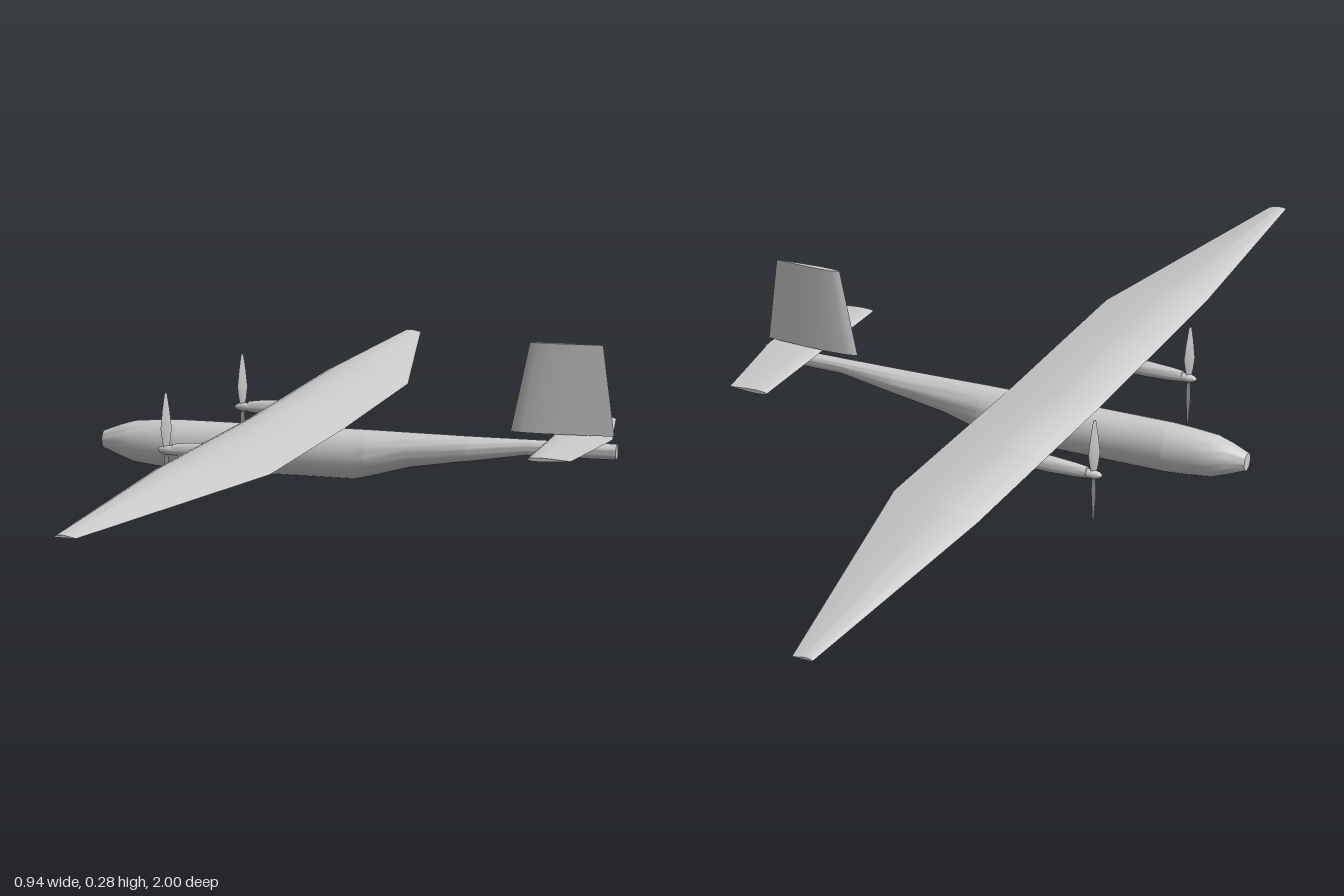
import * as THREE from 'three';
import { toCreasedNormals } from 'three/addons/utils/BufferGeometryUtils.js';

const grey = new THREE.MeshStandardMaterial({ color: 0xcccccc });
grey.name = 'light grey';

// Skin a list of closed rings (equal point counts) and cap both ends
function loft(rings, crease = 0.6) {
  const pos = [];
  let volume = 0;
  const tris = [];
  const tri = (a, b, c) => {
    tris.push([a, b, c]);
    volume += a.clone().sub(rings[0][0]).dot(
      b.clone().sub(rings[0][0]).cross(c.clone().sub(rings[0][0])));
  };
  const n = rings[0].length;
  for (let i = 0; i < rings.length - 1; i++) {
    for (let j = 0; j < n; j++) {
      const k = (j + 1) % n;
      tri(rings[i][j], rings[i][k], rings[i + 1][k]);
      tri(rings[i][j], rings[i + 1][k], rings[i + 1][j]);
    }
  }
  const cap = (ring, flip) => {
    const c = new THREE.Vector3();
    ring.forEach((p) => c.addScaledVector(p, 1 / n));
    ring.forEach((p, j) => {
      const q = ring[(j + 1) % n];
      if (flip) tri(c, q, p); else tri(c, p, q);
    });
  };
  cap(rings[0], true);
  cap(rings[rings.length - 1], false);
  // Keep every face pointing outward, mirrored parts included
  tris.forEach(([a, b, c]) => {
    (volume > 0 ? [a, b, c] : [a, c, b]).forEach((p) => pos.push(p.x, p.y, p.z));
  });
  const g = new THREE.BufferGeometry();
  g.setAttribute('position', new THREE.Float32BufferAttribute(pos, 3));
  return toCreasedNormals(g, crease);
}

function add(parent, name, geometry) {
  const mesh = new THREE.Mesh(geometry, grey);
  mesh.name = name;
  parent.add(mesh);
  return mesh;
}

// Oval tube along x from [x, bottom, top, halfWidth] stations
function body(stations, z = 0, sides = 28) {
  return loft(stations.map(([x, lo, hi, w]) => Array.from({ length: sides }, (_, i) => {
    const a = (i / sides) * Math.PI * 2;
    return new THREE.Vector3(x, (lo + hi) / 2 + Math.sin(a) * (hi - lo) / 2, z + Math.cos(a) * w);
  })));
}

// Profiles as [chord fraction, thickness fraction]
const cambered = [[0, 0.3], [0.03, 0.53], [0.1, 0.78], [0.22, 0.96], [0.35, 1], [0.5, 0.88],
  [0.7, 0.58], [0.85, 0.3], [1, 0.02], [0.75, 0], [0.4, 0], [0.1, 0.03], [0.03, 0.12]];
const half = [[0.03, 0.2], [0.12, 0.4], [0.3, 0.5], [0.55, 0.38], [0.8, 0.18]];
const symmetric = [[0, 0], ...half, [1, 0], ...half.map(([u, v]) => [u, -v]).reverse()];

// Lifting surface from [span, lead, trail, base, thickness] sections
function foil(profile, sections, upright = false) {
  return loft(sections.map(([s, x0, x1, base, t]) => profile.map(([u, v]) => {
    const x = x0 + u * (x1 - x0), h = base + v * t;
    return upright ? new THREE.Vector3(x, s, h) : new THREE.Vector3(x, h, s);
  })));
}

export function createModel() {
  const model = new THREE.Group();
  model.name = 'twinPropAircraft';

  // Fuselage in panels, nose at -x
  const fuselage = {
    nose: [[-0.475, 0.053, 0.085, 0.015], [-0.445, 0.041, 0.097, 0.026],
      [-0.415, 0.03, 0.106, 0.034], [-0.37, 0.025, 0.11, 0.038], [-0.33, 0.022, 0.112, 0.04]],
    forwardFuselage: [[-0.33, 0.022, 0.112, 0.04], [-0.15, 0.022, 0.112, 0.04]],
    midFuselage: [[-0.15, 0.022, 0.112, 0.04], [0, 0.022, 0.112, 0.04], [0.025, 0.028, 0.112, 0.038]],
    rearFuselage: [[0.025, 0.028, 0.112, 0.038], [0.1, 0.049, 0.111, 0.031], [0.205, 0.065, 0.11, 0.023]],
    tailBoom: [[0.205, 0.065, 0.11, 0.023], [0.31, 0.082, 0.11, 0.014], [0.47, 0.082, 0.11, 0.012]],
  };
  for (const [name, stations] of Object.entries(fuselage)) add(model, name, body(stations));

  // Wing panels from root to tip
  const stations = [
    [0, -0.2, -0.02, 0.112, 0.022],
    [0.25, -0.2, -0.02, 0.115, 0.022],
    [0.44, -0.2, -0.02, 0.117, 0.022],
    [0.5, -0.2, -0.033, 0.118, 0.021],
    [1, -0.175, -0.14, 0.128, 0.004],
  ];
  const panels = { innerWing: [0, 2], middleWing: [1, 4], outerWing: [3, 5] };

  for (const side of [1, -1]) {
    const label = side < 0 ? 'Right' : 'Left';
    const mirror = ([s, ...rest]) => [s * side, ...rest];
    for (const [name, [a, b]] of Object.entries(panels)) {
      add(model, name + label, foil(cambered, stations.slice(a, b).map(mirror)));
    }

    // Tailplane
    add(model, 'tailplane' + label, foil(symmetric,
      [[0, 0.355, 0.462, 0.117, 0.011], [0.203, 0.355, 0.43, 0.117, 0.007]].map(mirror)));

    // Engine nacelle with fairing under the wing
    const z = 0.213 * side;
    add(model, 'nacelle' + label, body([[-0.268, 0.091, 0.111, 0.009], [-0.245, 0.089, 0.114, 0.011],
      [-0.2, 0.088, 0.117, 0.014], [-0.1, 0.09, 0.12, 0.014], [-0.07, 0.097, 0.12, 0.01],
      [-0.045, 0.107, 0.118, 0.004]], z, 18));

    // Propeller: spinner and two twisted blades
    const prop = new THREE.Group();
    prop.name = 'propeller' + label;
    prop.position.set(-0.28, 0.1, z);
    add(prop, 'spinner', body([[-0.015, -0.002, 0.002, 0.002], [-0.009, -0.006, 0.006, 0.006],
      [0, -0.008, 0.008, 0.008], [0.014, -0.008, 0.008, 0.008]], 0, 16));
    const blade = loft([[0, 0.004, 0.75], [0.018, 0.008, 0.75], [0.038, 0.011, 0.85],
      [0.07, 0.008, 1.0], [0.1, 0.003, 1.1]].map(([y, w, twist]) =>
      Array.from({ length: 10 }, (_, i) => {
        const a = (i / 10) * Math.PI * 2;
        return new THREE.Vector3(Math.cos(a) * w, y, Math.sin(a) * w * 0.25)
          .applyAxisAngle(new THREE.Vector3(0, 1, 0), twist);
      })));
    for (const turn of [0, Math.PI]) add(prop, 'blade', blade).rotation.x = turn;
    model.add(prop);
  }

  // Upright tail fin
  add(model, 'tailFin', foil(symmetric,
    [[0.123, 0.281, 0.465, 0, 0.016], [0.282, 0.314, 0.443, 0, 0.011]], true));

  return model;
}
